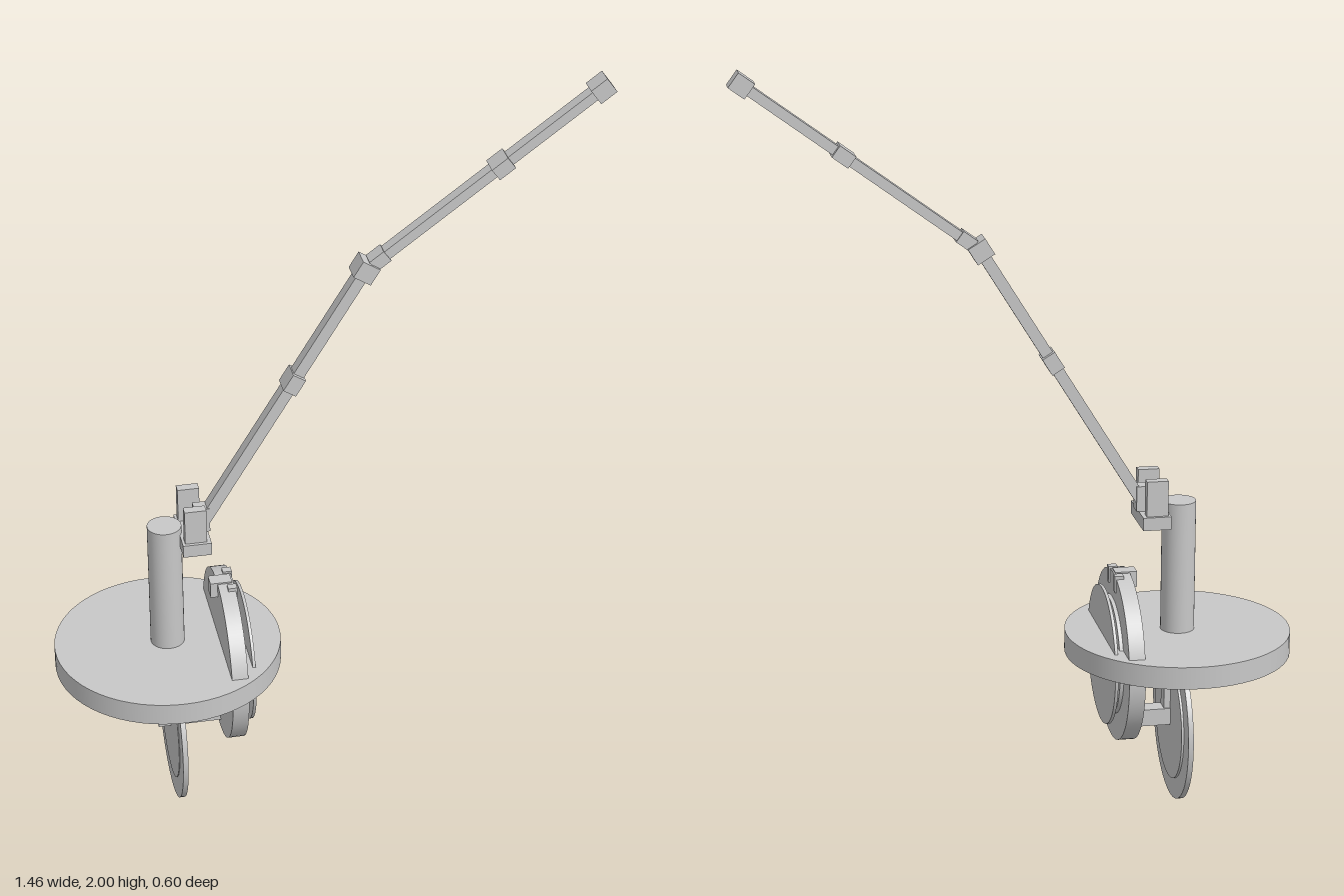
import * as THREE from 'three';

export function createModel() {
  const model = new THREE.Group();
  const grey = new THREE.MeshStandardMaterial({ color: 0xc8c8c8 });
  grey.name = 'plain grey';

  const add = (name, geometry, x, y, z, parent = model) => {
    const mesh = new THREE.Mesh(geometry, grey);
    mesh.name = name;
    mesh.position.set(x, y, z);
    parent.add(mesh);
    return mesh;
  };
  // box given by its limits on each axis
  const block = (name, x0, x1, y0, y1, z0, z1) =>
    add(name, new THREE.BoxGeometry(x1 - x0, y1 - y0, z1 - z0),
      (x0 + x1) / 2, (y0 + y1) / 2, (z0 + z1) / 2);
  // upright disc whose axis runs along x
  const wheel = (name, x0, x1, y, r) =>
    add(name, new THREE.CylinderGeometry(r, r, x1 - x0, 64).rotateZ(Math.PI / 2), (x0 + x1) / 2, y, 0);

  // platter and post
  add('platter', new THREE.CylinderGeometry(0.3, 0.3, 0.06, 64), -0.43, 0.443, 0);
  add('post', new THREE.CylinderGeometry(0.045, 0.045, 0.37, 32), -0.43, 0.645, 0);

  // lower wheel with its raised inner disc, clip and axle
  wheel('lowerWheel', -0.43, -0.416, 0.215, 0.215);
  wheel('lowerWheelInner', -0.432, -0.41, 0.215, 0.16);
  block('lowerClip', -0.475, -0.416, 0.39, 0.432, -0.02, 0.02);
  block('axle', -0.465, -0.295, 0.207, 0.253, -0.024, 0.024);
  block('axleStrut', -0.41, -0.393, 0.25, 0.32, -0.02, 0.02);

  // upper wheel, inner disc and outer cover disc
  wheel('upperWheel', -0.296, -0.253, 0.412, 0.23);
  wheel('upperWheelInner', -0.254, -0.243, 0.412, 0.16);
  wheel('coverHub', -0.244, -0.231, 0.412, 0.03);
  wheel('coverDisc', -0.233, -0.225, 0.412, 0.186);
  block('upperClip', -0.315, -0.257, 0.602, 0.645, -0.02, 0.02);

  // clamp that holds the arm
  block('clampBase', -0.393, -0.318, 0.775, 0.81, -0.078, 0.078);
  block('armPivot', -0.352, -0.312, 0.81, 0.878, -0.02, 0.02);
  for (const s of [-1, 1]) {
    const z = s * 0.056;
    block('clampCheek', -0.386, -0.329, 0.81, 0.905, z - 0.013, z + 0.013);
    block('wheelLug', -0.273, -0.249, 0.6, 0.645, s * 0.041 - 0.011, s * 0.041 + 0.011);
  }

  // arm segments: a square bar with collars at fractions of its length
  const segment = (name, x0, y0, x1, y1, thick, collars) => {
    const group = new THREE.Group();
    group.name = name;
    const length = Math.hypot(x1 - x0, y1 - y0);
    group.position.set(x0, y0, 0);
    group.rotation.z = Math.atan2(y1 - y0, x1 - x0);
    add(name + 'Bar', new THREE.BoxGeometry(length, thick, 0.034), length / 2, 0, 0, group);
    for (const [t, l, h, w] of collars)
      add(name + 'Collar', new THREE.BoxGeometry(l, h, w), length * t, 0, 0, group);
    model.add(group);
  };
  segment('lowerArm', -0.325, 0.84, 0.098, 1.525, 0.03,
    [[0.56, 0.05, 0.038, 0.058], [1, 0.048, 0.052, 0.058]]);
  segment('upperArm', 0.098, 1.525, 0.693, 1.965, 0.026,
    [[0.06, 0.045, 0.034, 0.042], [0.58, 0.05, 0.036, 0.058], [1, 0.05, 0.046, 0.05]]);

  return model;
}
